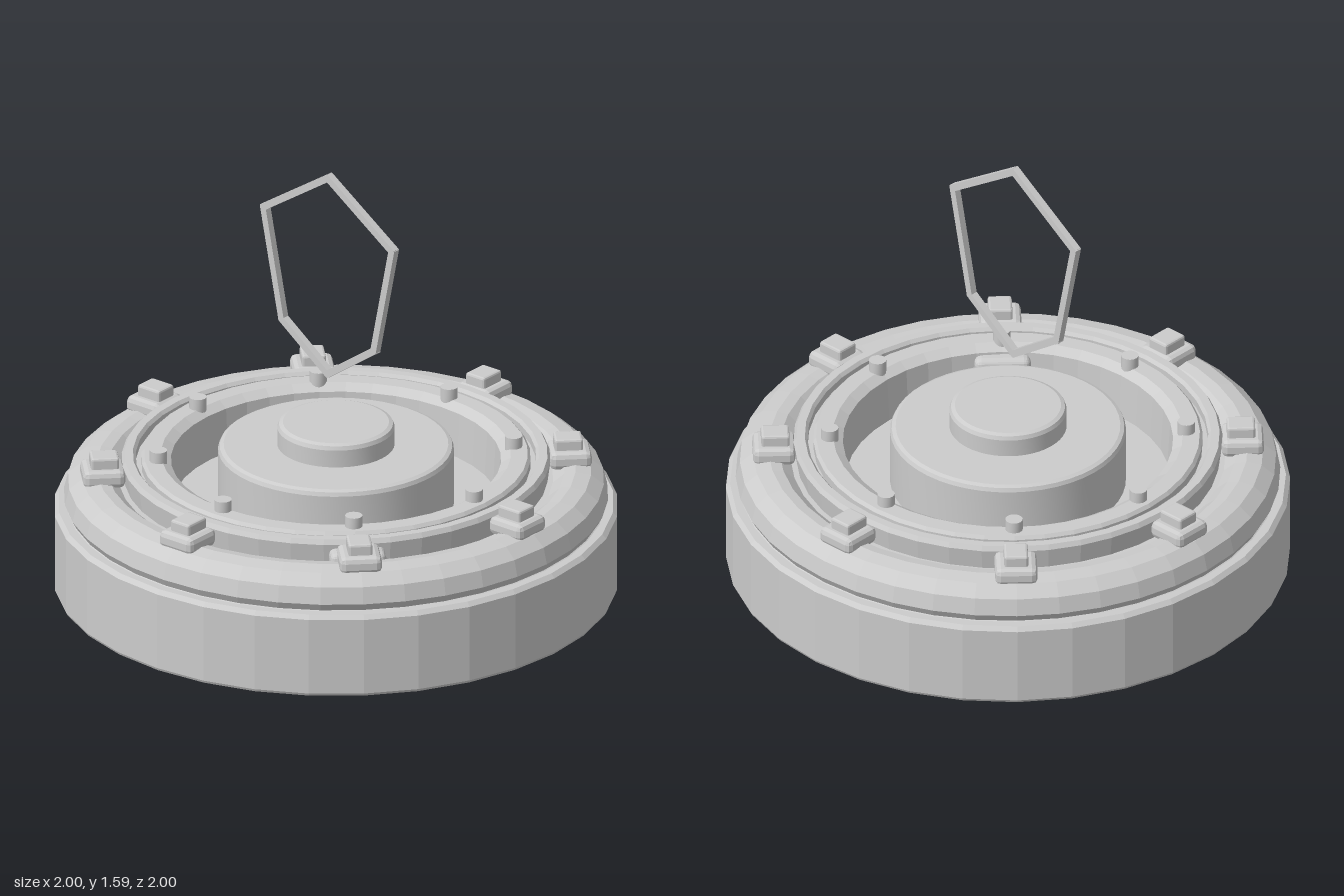
import * as THREE from 'three';
import { RoundedBoxGeometry } from 'three/addons/geometries/RoundedBoxGeometry.js';
import { toCreasedNormals } from 'three/addons/utils/BufferGeometryUtils.js';

const flat = new THREE.MeshStandardMaterial({ color: 0xcccccc, flatShading: true });
const smooth = new THREE.MeshStandardMaterial({ color: 0xcccccc });

function part(name, geometry, material = flat) {
  const mesh = new THREE.Mesh(geometry, material);
  mesh.name = name;
  return mesh;
}

// Closed profiles run counter-clockwise in (radius, height)
function turned(points, sides) {
  return new THREE.LatheGeometry(points.map(([r, y]) => new THREE.Vector2(r, y)), sides);
}

// Solid drum with a bevelled top edge
function drum(radius, bottom, top, bevel) {
  return toCreasedNormals(turned([
    [0, bottom], [radius, bottom], [radius, top - bevel],
    [radius - bevel * 0.3, top - bevel * 0.3], [radius - bevel, top], [0, top],
  ], 48), 0.4);
}

export function createModel() {
  const model = new THREE.Group();
  model.name = 'pressurePlateDevice';

  // Hollow outer skirt
  model.add(part('outerSkirt', turned([
    [0.985, 0.3], [0.985, 0], [0.995, 0], [1, 0.01], [1, 0.295],
    [0.985, 0.31], [0.94, 0.31], [0.94, 0.3], [0.985, 0.3],
  ], 32)));

  // Stepped body with rim, channel, inner well and a groove beneath
  model.add(part('steppedBody', turned([
    [0, 0.295], [0.66, 0.295], [0.66, 0.38], [0.775, 0.38], [0.775, 0.295],
    [0.985, 0.295], [0.95, 0.312], [0.965, 0.34], [0.95, 0.4], [0.905, 0.437],
    [0.85, 0.447], [0.81, 0.44], [0.77, 0.405], [0.75, 0.405],
    [0.76, 0.48], [0.75, 0.497], [0.72, 0.497], [0.71, 0.485],
    [0.71, 0.455], [0.69, 0.455], [0.69, 0.485], [0.68, 0.497],
    [0.62, 0.497], [0.585, 0.475], [0.575, 0.31], [0, 0.31],
  ], 40)));

  // Central plate and button
  model.add(part('centrePlate', drum(0.418, 0.288, 0.535, 0.02), smooth));
  model.add(part('centreButton', drum(0.208, 0.52, 0.62, 0.02), smooth));

  // Eight clamps on the shoulder and eight pegs on the inner rim
  for (let i = 0; i < 8; i++) {
    const spoke = new THREE.Group();
    spoke.name = 'clampAndPeg';
    spoke.rotation.y = i * Math.PI / 4;

    const base = part('clampBase', new RoundedBoxGeometry(0.15, 0.065, 0.15, 1, 0.02));
    base.position.set(0, 0.457, 0.83);
    const cap = part('clampCap', new RoundedBoxGeometry(0.085, 0.06, 0.1, 1, 0.008));
    cap.position.set(0, 0.5, 0.825);
    const peg = part('peg', new THREE.CylinderGeometry(0.031, 0.031, 0.06, 16), smooth);
    peg.geometry = toCreasedNormals(peg.geometry, 0.6);
    peg.position.set(0, 0.508, 0.632);

    spoke.add(base, cap, peg);
    model.add(spoke);
  }

  // Block set through the ring at the front left
  const blockMount = new THREE.Group();
  blockMount.name = 'ringBlockMount';
  blockMount.rotation.y = Math.PI / 4;
  const block = part('ringBlock', new RoundedBoxGeometry(0.2, 0.18, 0.28, 2, 0.025));
  block.position.set(0, 0.376, 0.675);
  blockMount.add(block);
  model.add(blockMount);

  // Six-sided wire loop standing above the button
  const loop = new THREE.Group();
  loop.name = 'wireLoop';
  const corners = [
    [0, 1.58], [0.3, 1.382], [0.215, 0.972], [0, 0.82], [-0.215, 0.972], [-0.3, 1.382],
  ].map(([x, y]) => new THREE.Vector2(x, y));
  corners.forEach((a, i) => {
    const b = corners[(i + 1) % corners.length];
    const rod = part('loopRod', new THREE.BoxGeometry(a.distanceTo(b) + 0.014, 0.026, 0.026));
    rod.position.set((a.x + b.x) / 2, (a.y + b.y) / 2, 0);
    rod.rotation.z = Math.atan2(b.y - a.y, b.x - a.x);
    loop.add(rod);
  });
  loop.position.z = 0.037;
  loop.rotation.y = -0.025;
  model.add(loop);

  return model;
}
